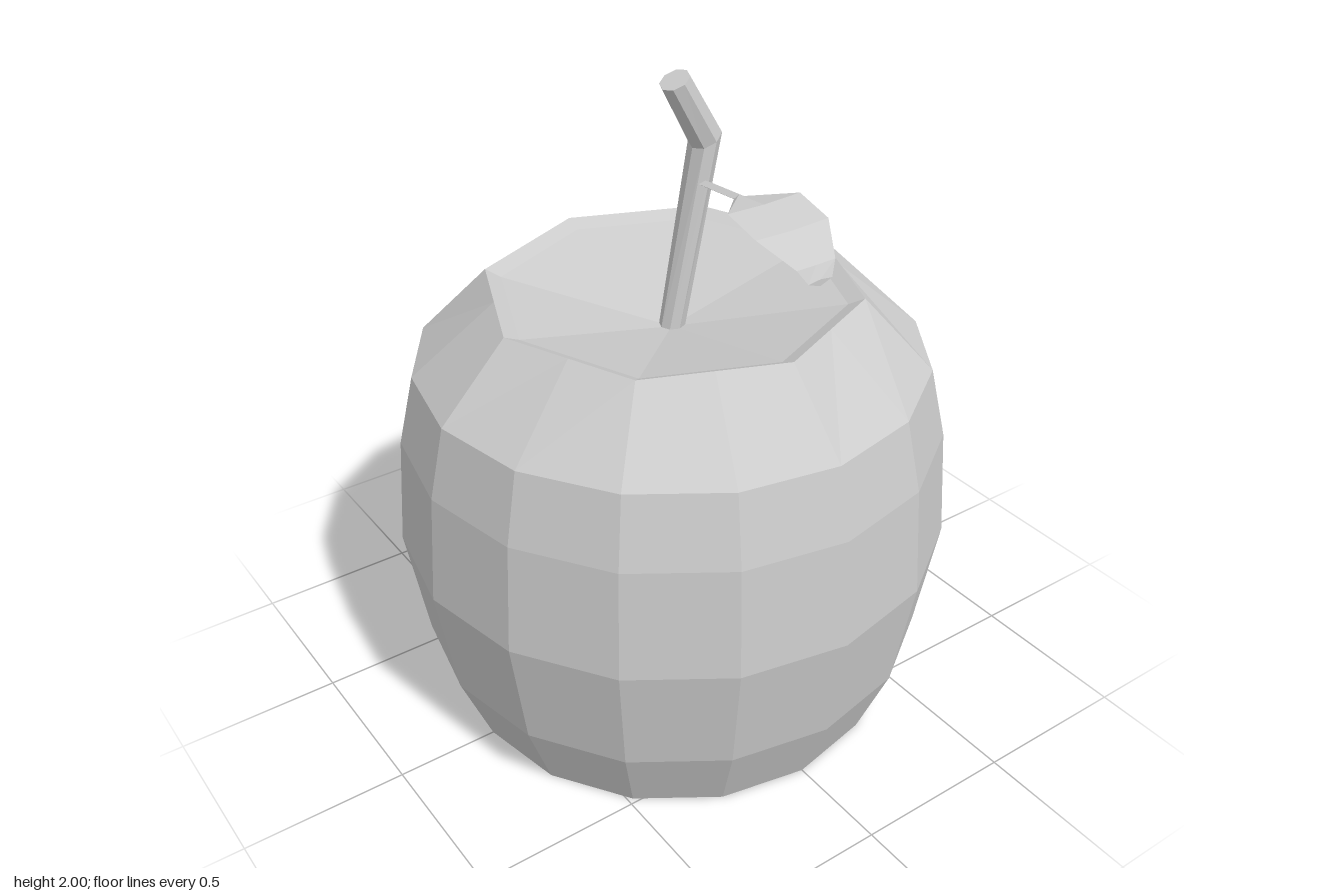
import * as THREE from 'three';

// Skin a list of closed rings, counter-clockwise about the direction of travel, with faceted shading
function loft(name, rings) {
  const pos = [];
  const tri = (a, b, c) => {
    const area = b.clone().sub(a).cross(c.clone().sub(a)).length();
    if (area > 1e-7) pos.push(...a, ...b, ...c);
  };
  const n = rings[0].length;
  for (let i = 0; i < rings.length - 1; i++) {
    for (let j = 0; j < n; j++) {
      const k = (j + 1) % n, lo = rings[i], hi = rings[i + 1];
      tri(lo[j], lo[k], hi[k]);
      tri(lo[j], hi[k], hi[j]);
    }
  }
  // End caps
  const first = rings[0], last = rings[rings.length - 1];
  for (let j = 1; j < n - 1; j++) {
    tri(first[0], first[j + 1], first[j]);
    tri(last[0], last[j], last[j + 1]);
  }
  const geo = new THREE.BufferGeometry();
  geo.setAttribute('position', new THREE.Float32BufferAttribute(pos, 3));
  geo.computeVertexNormals();
  const mesh = new THREE.Mesh(geo, new THREE.MeshStandardMaterial({ color: 0xcccccc, flatShading: true }));
  mesh.name = name;
  return mesh;
}

const around = (n, fn) => Array.from({ length: n }, (_, j) => fn((j / n) * Math.PI * 2, j));

export function createModel() {
  const model = new THREE.Group();
  model.name = 'apple';

  // Body: [radius, height, octagonal]; the rim and hollow are octagons with split edges
  const profile = [
    [0, 0.015, 0], [0.685, 0, 0], [0.78, 0.24, 0], [0.84, 0.6, 0], [0.815, 0.94, 0],
    [0.765, 1.155, 0], [0.557, 1.37, 1], [0.51, 1.348, 1], [0, 1.23, 1],
  ];
  model.add(loft('body', profile.map(([r, y, octagonal]) => around(16, (a, j) => {
    const s = octagonal && j % 2 ? r * Math.cos(Math.PI / 8) : r;
    return new THREE.Vector3(s * Math.cos(a), y, -s * Math.sin(a));
  }))));

  // Bent stem: [y, z, half width, tilt of the ring in y, tilt in z]
  const stem = [
    [1.21, 0.004, 0.038, -0.008, -0.037],
    [1.795, -0.113, 0.055, 0.025, -0.043],
    [1.978, -0.01, 0.047, 0.02, -0.04],
  ];
  model.add(loft('stem', stem.map(([y, z, r, dy, dz]) => around(8, (a) => new THREE.Vector3(
    r * Math.cos(a), y + dy * Math.sin(a), z + dz * Math.sin(a))))));

  // Leaf with its stalk: [x, y, half width, cupping]
  const leaf = [
    [0.02, 1.675, 0.017, 0], [0.2, 1.69, 0.017, 0], [0.31, 1.7, 0.122, 0.013],
    [0.43, 1.67, 0.122, 0.013], [0.53, 1.61, 0.065, 0.01], [0.55, 1.577, 0.04, 0.004],
  ];
  const zMid = -0.082;
  model.add(loft('leaf', leaf.map(([x, y, w, cup]) => [
    new THREE.Vector3(x, y + 0.009, zMid),
    new THREE.Vector3(x, y + cup, zMid + w),
    new THREE.Vector3(x, y - 0.011, zMid),
    new THREE.Vector3(x, y + cup, zMid - w),
  ])));

  return model;
}
